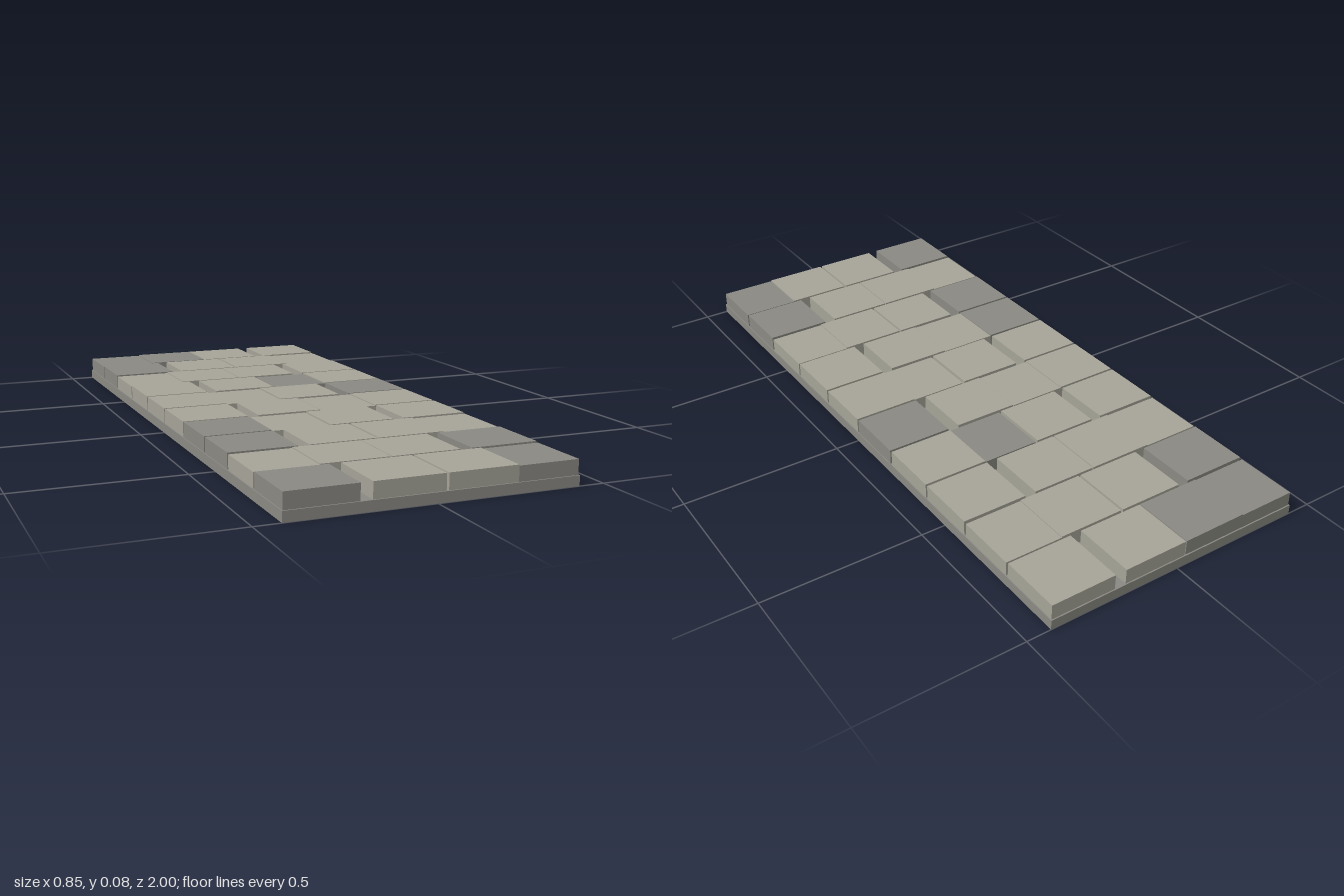
import * as THREE from 'three';

// One letter per stone, left to right: L light, D dark (back row first)
const ROWS = ['DDLL', 'DLLL', 'LLLL', 'LLDL', 'LLLD', 'LLLL', 'DLLL', 'DLLL', 'LLLD', 'DLLD'];
// Stone centres across the path for alternating rows
const CENTRES = [
  [-0.318, -0.133, 0.076, 0.318],
  [-0.318, -0.078, 0.135, 0.318],
];
// Stones that sit slightly lower than their neighbours (row-column)
const LOW = new Set(['0-0', '3-2', '6-1', '9-3', '1-3', '4-1', '5-2', '7-3', '2-0', '8-0']);

export function createModel() {
  const group = new THREE.Group();
  group.name = 'pavedPath';
  const light = new THREE.MeshStandardMaterial({ color: 0xa6a498 });
  const dark = new THREE.MeshStandardMaterial({ color: 0x8a8982 });

  const addBox = (name, material, w, d, x, y0, y1, z) => {
    const mesh = new THREE.Mesh(new THREE.BoxGeometry(w, y1 - y0, d), material);
    mesh.position.set(x, (y0 + y1) / 2, z);
    mesh.name = name;
    group.add(mesh);
  };

  // Mortar bed
  addBox('base', dark, 0.848, 2, 0, 0, 0.03, 0);

  // Staggered paving stones
  ROWS.forEach((row, r) => {
    CENTRES[r % 2].forEach((x, c) => {
      const top = LOW.has(`${r}-${c}`) ? 0.074 : 0.077;
      addBox(`stone${r + 1}_${c + 1}`, row[c] === 'D' ? dark : light,
        0.206, 0.192, x, 0.029, top, -0.9 + 0.2 * r);
    });
  });
  return group;
}
